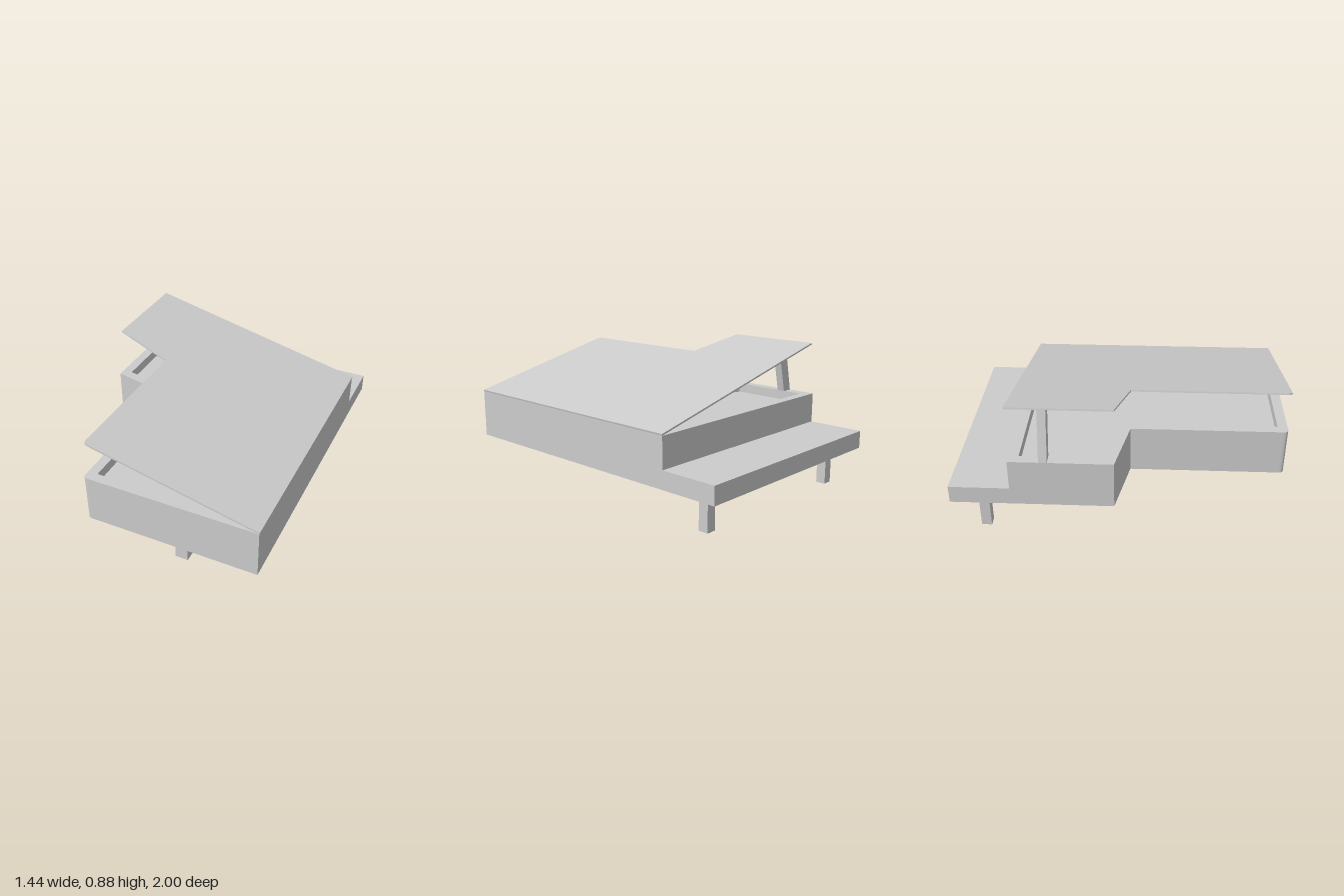
import * as THREE from 'three';

const RIM_TOP = 0.54, BOTTOM = 0.24, FLOOR = 0.48, LID_ANGLE = 0.2305;

// Plan outline of the case (shape y becomes z), moved inwards by d
function outline(d, Type = THREE.Shape) {
  const r = d ? 0.005 : 0.03;
  const right = 0.72 - d, tail = 1 - d, side = -0.35 + d, k = 0.81 * d;
  const s = new Type();
  s.moveTo(right, -0.64 + d);
  s.lineTo(right, tail);
  s.lineTo(side + r, tail);
  s.quadraticCurveTo(side, tail, side, tail - r);
  s.lineTo(side, 0.05 - k);
  s.lineTo(-0.72 + d, -0.03 - k);
  s.lineTo(-0.72 + d, -0.64 + d);
  s.closePath();
  return s;
}

// Horizontal plate between two heights
function plate(shape, y0, y1) {
  const g = new THREE.ExtrudeGeometry(shape, { depth: y1 - y0, bevelEnabled: false, curveSegments: 8 });
  return g.rotateX(Math.PI / 2).translate(0, y1, 0);
}

export function createModel() {
  const group = new THREE.Group();
  const material = new THREE.MeshStandardMaterial({ color: 0xcccccc });
  const add = (name, geometry) => {
    const mesh = new THREE.Mesh(geometry, material);
    mesh.name = name;
    group.add(mesh);
    return mesh;
  };
  const box = (name, x0, x1, y0, y1, z0, z1) =>
    add(name, new THREE.BoxGeometry(x1 - x0, y1 - y0, z1 - z0)
      .translate((x0 + x1) / 2, (y0 + y1) / 2, (z0 + z1) / 2));

  // Case with a raised rim around the recessed soundboard
  add('case', plate(outline(0), BOTTOM, FLOOR));
  const rimShape = outline(0);
  rimShape.holes.push(outline(0.06, THREE.Path));
  add('rim', plate(rimShape, FLOOR, RIM_TOP));

  // Low shelf for the keys
  box('keybed', -0.72, 0.72, BOTTOM, 0.35, -1, -0.64);

  // Lid, hinged along the straight side
  const lid = add('lid', plate(outline(0), 0, 0.01).translate(-0.72, 0, 0));
  lid.position.set(0.72, RIM_TOP, 0);
  lid.rotation.z = -LID_ANGLE;

  // Leaning lid prop
  const propShape = new THREE.Shape([
    [-0.72, RIM_TOP], [-0.65, RIM_TOP], [-0.58, 0.846], [-0.65, 0.862],
  ].map(([x, y]) => new THREE.Vector2(x, y)));
  add('lidProp', new THREE.ExtrudeGeometry(propShape, { depth: 0.05, bevelEnabled: false })
    .translate(0, 0, -0.46));

  // Legs
  box('tailLeg', 0.145, 0.225, 0, BOTTOM, 0.795, 0.857);
  box('rightLeg', -0.635, -0.573, 0, BOTTOM, -0.85, -0.788);
  box('leftLeg', 0.53, 0.592, 0.012, BOTTOM, -0.85, -0.788);

  return group;
}
